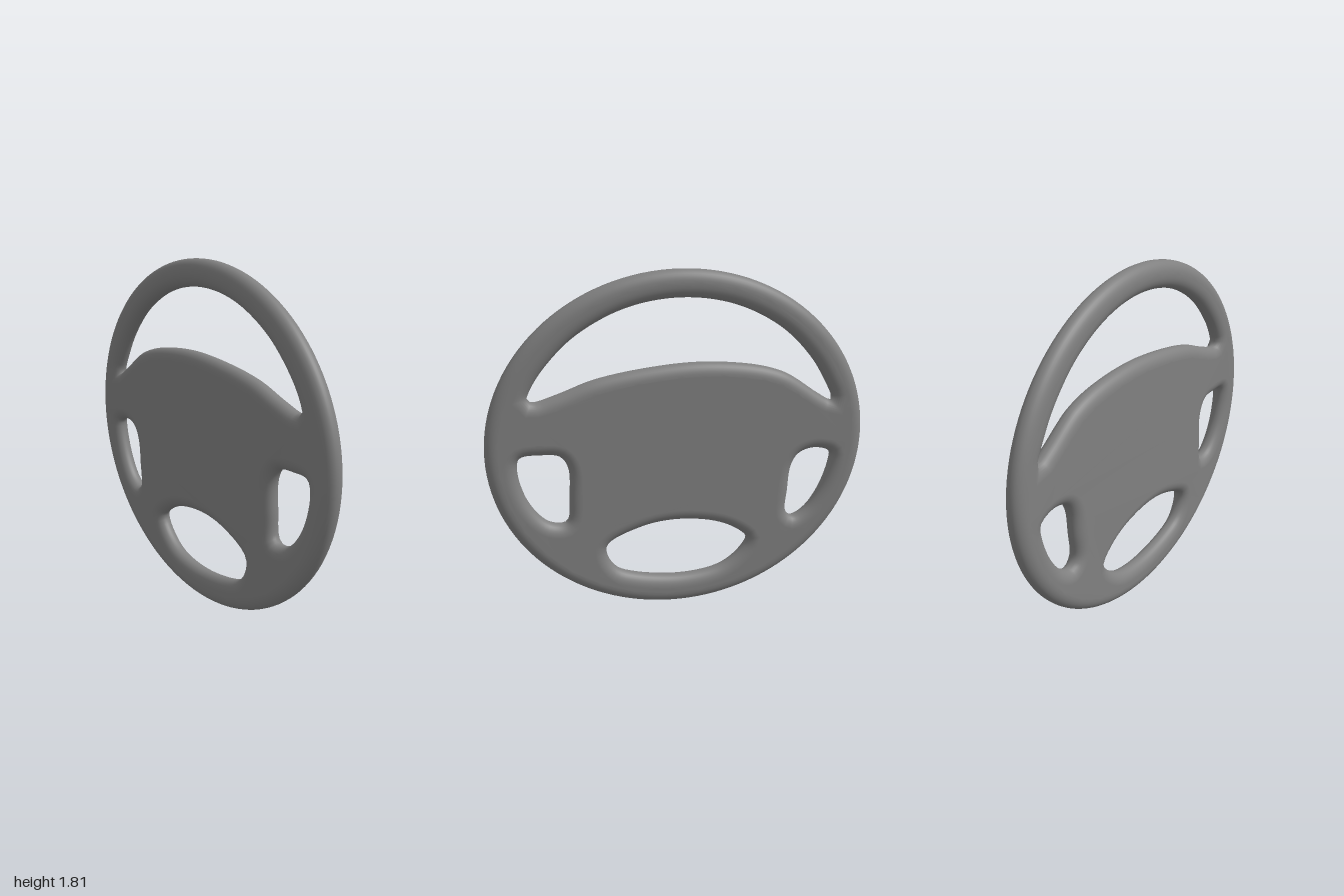
import * as THREE from 'three';
import { mergeVertices } from 'three/addons/utils/BufferGeometryUtils.js';

const BEVEL = 0.064, HALF_DEPTH = 0.051, FLAT = 0.006;

// Smooth closed outline through a few [x, y] points
function outline(points, count) {
  const curve = new THREE.CatmullRomCurve3(
    points.map(([x, y]) => new THREE.Vector3(x, y, 0)), true, 'centripetal');
  return curve.getSpacedPoints(count).slice(0, count).map(p => new THREE.Vector2(p.x, p.y));
}

export function createModel() {
  const group = new THREE.Group();
  group.name = 'steeringWheel';

  // Slightly oval outer edge of the rim
  const outer = new THREE.EllipseCurve(0, 0.908, 1, 0.906, 0, Math.PI * 2);
  const shape = new THREE.Shape(outer.getPoints(128).slice(0, 128));

  // Opening between the upper rim and the hub: hub edge, then the rim's inner arc
  const upper = [
    [-0.825, 1.1], [-0.75, 1.14], [-0.62, 1.23], [-0.55, 1.27], [-0.4, 1.315],
    [-0.1, 1.345], [0.2, 1.325], [0.45, 1.28], [0.62, 1.22], [0.75, 1.185],
    [0.775, 1.2], [0.757, 1.25], [0.69, 1.35], [0.53, 1.505], [0.28, 1.632],
    [0, 1.675], [-0.28, 1.632], [-0.53, 1.505], [-0.7, 1.338], [-0.79, 1.196], [-0.828, 1.115],
  ];
  // Side openings, which differ slightly from each other
  const right = [
    [-0.83, 0.81], [-0.74, 0.84], [-0.65, 0.815], [-0.61, 0.75], [-0.595, 0.61],
    [-0.59, 0.48], [-0.625, 0.447], [-0.7, 0.485], [-0.78, 0.6], [-0.832, 0.76],
  ];
  const left = [
    [0.59, 0.83], [0.63, 0.895], [0.73, 0.91], [0.83, 0.9], [0.845, 0.83],
    [0.81, 0.68], [0.745, 0.575], [0.685, 0.53], [0.61, 0.53], [0.59, 0.67],
  ];
  // Opening between the hub and the lower rim
  const lower = [
    [-0.37, 0.34], [-0.31, 0.4], [-0.18, 0.46], [0.035, 0.49], [0.22, 0.465],
    [0.4, 0.38], [0.405, 0.32], [0.355, 0.235], [0.25, 0.19], [0, 0.155],
    [-0.2, 0.18], [-0.29, 0.23], [-0.355, 0.3],
  ];
  for (const [points, count] of [[upper, 130], [right, 56], [left, 56], [lower, 72]]) {
    shape.holes.push(new THREE.Path(outline(points, count)));
  }

  // Rim, spokes and hub in one body with fully rounded edges
  let geometry = new THREE.ExtrudeGeometry(shape, {
    depth: FLAT, bevelEnabled: true, bevelSegments: 8,
    bevelSize: BEVEL, bevelOffset: -BEVEL, bevelThickness: HALF_DEPTH - FLAT / 2,
  });
  geometry.translate(0, 0, -FLAT / 2);
  geometry.deleteAttribute('normal');
  geometry.deleteAttribute('uv');
  geometry = mergeVertices(geometry, 1e-5);
  geometry.computeVertexNormals();

  const body = new THREE.Mesh(geometry, new THREE.MeshStandardMaterial({ color: 0x808080 }));
  body.name = 'rimAndHub';
  group.add(body);
  return group;
}
